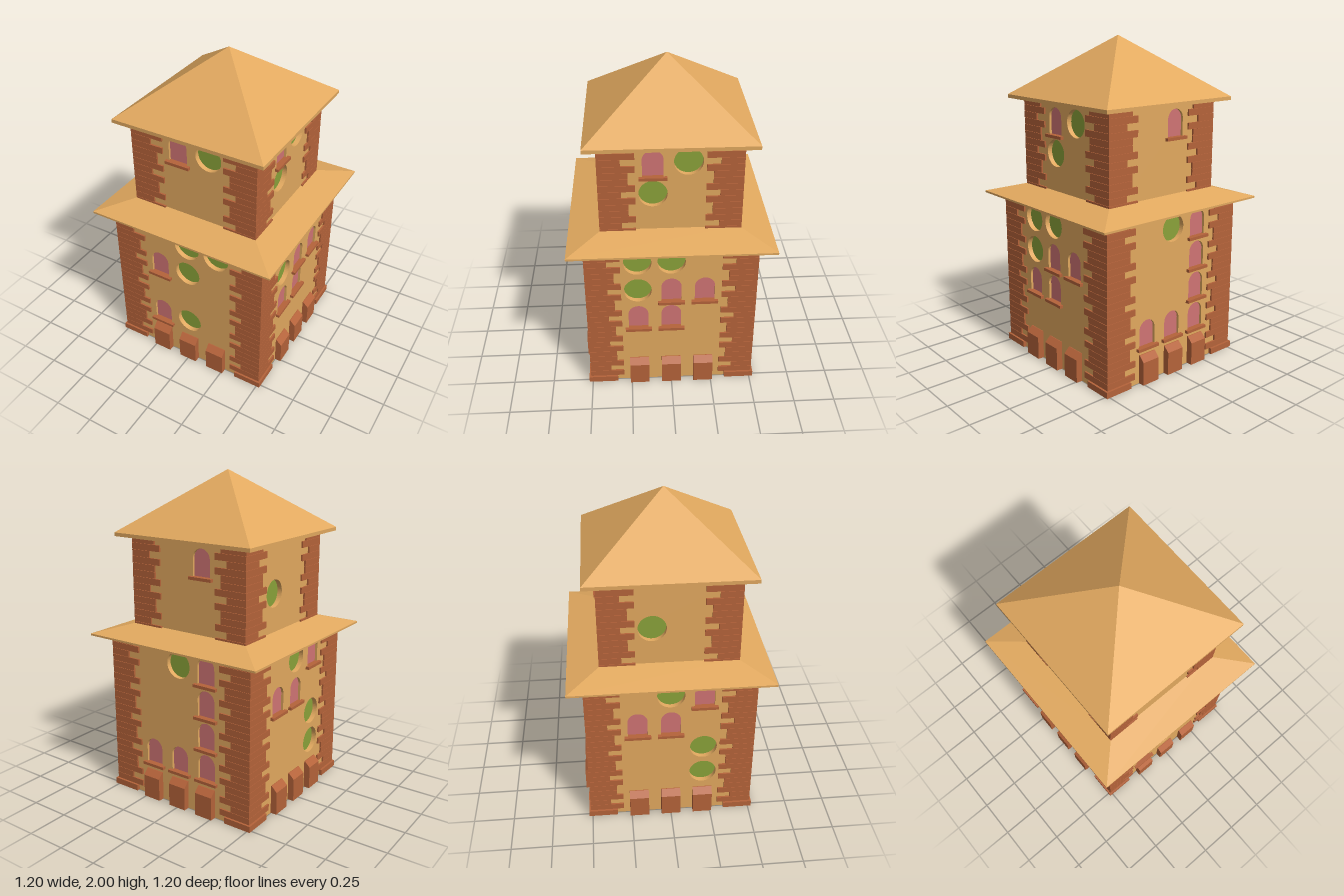
import * as THREE from 'three';

const paint = (color) => new THREE.MeshStandardMaterial({ color, flatShading: true });

export function createModel() {
  const plaster = paint(0xe2a95f), brick = paint(0xb5633a);
  const green = paint(0x8aa23a), pink = paint(0xd07474);
  const tower = new THREE.Group();
  tower.name = 'tower';

  function add(parent, name, geometry, material, x = 0, y = 0, z = 0) {
    const mesh = new THREE.Mesh(geometry, material);
    mesh.name = name;
    mesh.position.set(x, y, z);
    parent.add(mesh);
    return mesh;
  }

  // Opening outlines, centred on a 0.2 cell
  function archOutline(Kind, u, y) {
    const p = new Kind();
    p.moveTo(u - 0.06, y - 0.08);
    p.lineTo(u + 0.06, y - 0.08);
    p.lineTo(u + 0.06, y + 0.03);
    p.absarc(u, y + 0.03, 0.06, 0, Math.PI, false);
    p.closePath();
    return p;
  }
  function roundOutline(Kind, u, y) {
    const p = new Kind();
    p.absarc(u, y + 0.01, 0.083, 0, Math.PI * 2, false);
    return p;
  }

  // One wall panel with recessed arched windows and round windows
  function addWall(side, half, y0, y1, arches, rounds) {
    const w = half - 0.005;
    const shape = new THREE.Shape([
      new THREE.Vector2(-w, y0), new THREE.Vector2(w, y0),
      new THREE.Vector2(w, y1), new THREE.Vector2(-w, y1),
    ]);
    for (const [u, y] of arches) shape.holes.push(archOutline(THREE.Path, u, y));
    for (const [u, y] of rounds) shape.holes.push(roundOutline(THREE.Path, u, y));
    add(side, 'wall', new THREE.ExtrudeGeometry(shape, {
      depth: 0.04, bevelEnabled: false, curveSegments: 24,
    }), plaster, 0, 0, half - 0.04);
    for (const [u, y] of arches) {
      add(side, 'windowPane', new THREE.ShapeGeometry(archOutline(THREE.Shape, u, y), 24),
        pink, 0, 0, half - 0.015);
      add(side, 'windowSill', new THREE.BoxGeometry(0.16, 0.018, 0.04),
        brick, u, y - 0.083, half + 0.002);
    }
    for (const [u, y] of rounds) {
      add(side, 'roundWindow', new THREE.ShapeGeometry(roundOutline(THREE.Shape, u, y), 24),
        green, 0, 0, half - 0.03);
    }
  }

  // Sloped-top buttress standing against the foot of the wall
  function addButtress(side, u) {
    const profile = new THREE.Shape([
      new THREE.Vector2(0.48, 0), new THREE.Vector2(0.54, 0),
      new THREE.Vector2(0.54, 0.145), new THREE.Vector2(0.505, 0.18),
      new THREE.Vector2(0.48, 0.18),
    ]);
    const g = new THREE.ExtrudeGeometry(profile, { depth: 0.12, bevelEnabled: false });
    g.rotateY(-Math.PI / 2);
    add(side, 'buttress', g, brick, u + 0.06, 0, 0);
  }

  // Toothed brick quoins on the four corners
  const teeth = [0.16, 0.2, 0.12, 0.2, 0.16];
  function addQuoins(half, y0, y1) {
    const row = 0.0403;
    const count = Math.round((y1 - y0) / row);
    const h = (y1 - y0) / count;
    for (const sx of [-1, 1]) for (const sz of [-1, 1]) {
      const corner = new THREE.Group();
      corner.name = 'brickCorner';
      tower.add(corner);
      add(corner, 'cornerPost', new THREE.BoxGeometry(0.12, y1 - y0, 0.12), brick,
        sx * (half - 0.055), (y0 + y1) / 2, sz * (half - 0.055));
      for (let i = 0; i < count; i++) {
        const base = y0 === 0 && i === 0;
        const out = half + (base ? 0.022 : 0.011);
        const len = out - half + teeth[i % 5];
        const thick = 0.05, y = y0 + (i + 0.5) * h, bh = h - 0.002;
        add(corner, 'brickFront', new THREE.BoxGeometry(len, bh, thick), brick,
          sx * (out - len / 2), y, sz * (out - thick / 2));
        add(corner, 'brickSide', new THREE.BoxGeometry(thick, bh, len - thick), brick,
          sx * (out - thick / 2), y, sz * (out - thick - (len - thick) / 2));
      }
    }
  }

  // Four-sided roof with a thin straight rim
  function addRoof(name, eave, top, y0, rim, y1) {
    const r = Math.SQRT2;
    const g = top > 0
      ? new THREE.CylinderGeometry(top * r, eave * r, y1 - y0 - rim, 4)
      : new THREE.ConeGeometry(eave * r, y1 - y0 - rim, 4);
    g.rotateY(Math.PI / 4);
    add(tower, name, g, plaster, 0, (y0 + rim + y1) / 2, 0);
    add(tower, name + 'Rim', new THREE.BoxGeometry(eave * 2, rim, eave * 2), plaster,
      0, y0 + rim / 2, 0);
  }

  // Window layout per side: [across, height], across runs rightward seen from outside
  const sides = [
    { name: 'frontSide', turn: 0,
      arches: [[-0.2, 0.7], [-0.2, 0.3]],
      rounds: [[0, 0.9], [0.2, 0.9], [0, 0.7], [0, 0.3]],
      upArches: [[-0.1, 1.5]], upRounds: [[0.1, 1.505]] },
    { name: 'leftSide', turn: Math.PI / 2,
      arches: [[0, 0.7], [0.2, 0.7], [-0.2, 0.5], [0, 0.5]],
      rounds: [[-0.2, 0.9], [0, 0.9], [-0.2, 0.7]],
      upArches: [[-0.1, 1.5]], upRounds: [[0.1, 1.505], [-0.1, 1.305]] },
    { name: 'backSide', turn: Math.PI,
      arches: [[-0.2, 0.3], [0, 0.3], [0.2, 0.3], [0.2, 0.5], [0.2, 0.7], [0.2, 0.9]],
      rounds: [[0, 0.9]],
      upArches: [[0.1, 1.5]], upRounds: [] },
    { name: 'rightSide', turn: -Math.PI / 2,
      arches: [[-0.2, 0.7], [0, 0.7], [0.2, 0.9]],
      rounds: [[0, 0.9], [0.2, 0.5], [0.2, 0.3]],
      upArches: [], upRounds: [[-0.1, 1.305]] },
  ];
  for (const s of sides) {
    const side = new THREE.Group();
    side.name = s.name;
    side.rotation.y = s.turn;
    tower.add(side);
    addWall(side, 0.5, 0, 1.015, s.arches, s.rounds);
    addWall(side, 0.4, 1.03, 1.625, s.upArches, s.upRounds);
    for (const u of [-0.2, 0, 0.2]) addButtress(side, u);
  }

  add(tower, 'floor', new THREE.BoxGeometry(0.99, 0.02, 0.99), plaster, 0, 0.01, 0);
  addQuoins(0.5, 0, 1.01);
  addQuoins(0.4, 1.01, 1.62);
  addRoof('skirtRoof', 0.602, 0.4, 1.012, 0.012, 1.082);
  addRoof('topRoof', 0.483, 0, 1.618, 0.022, 2);
  return tower;
}
